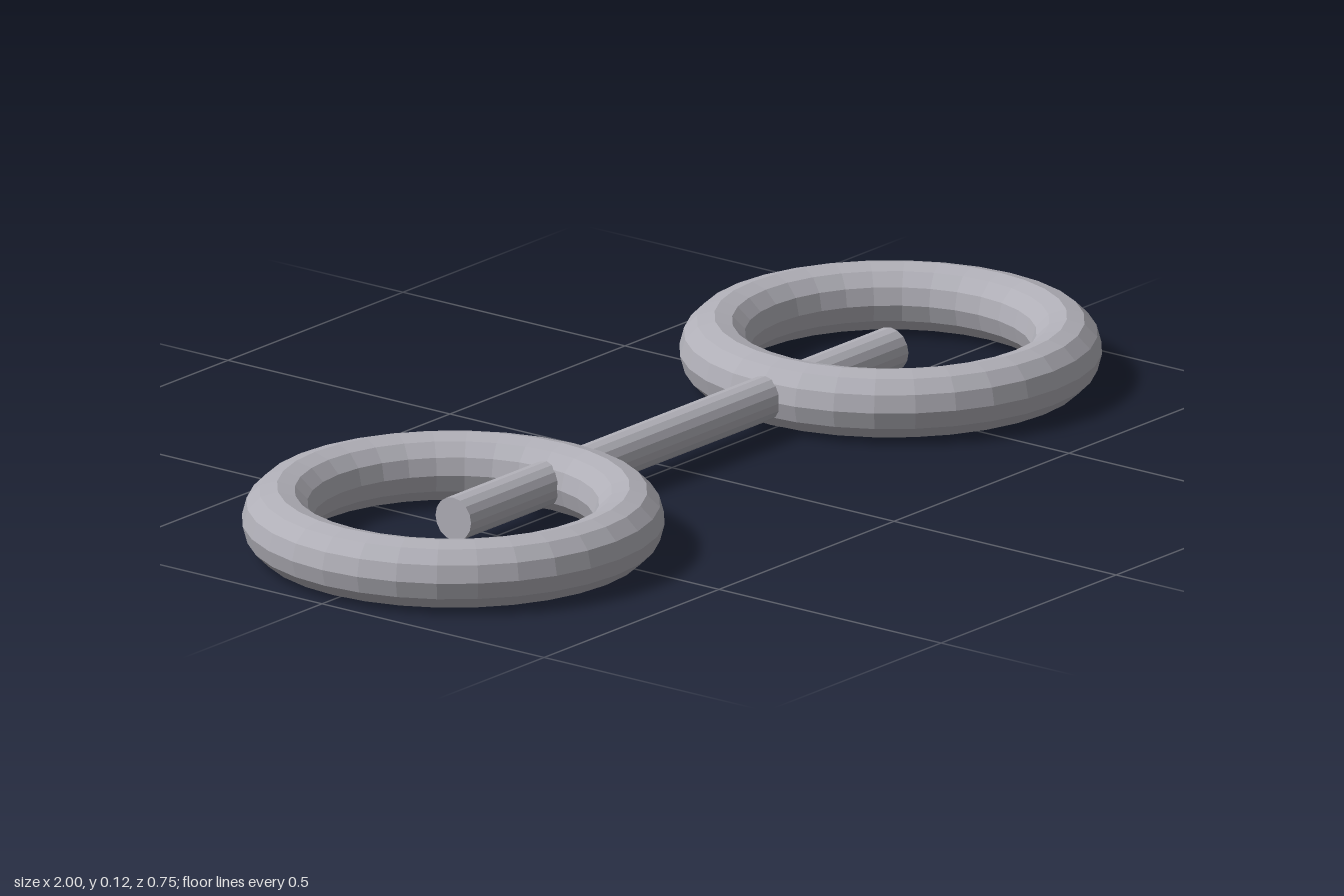
import * as THREE from 'three';

export function createModel() {
  const group = new THREE.Group();
  const grey = new THREE.MeshStandardMaterial({ color: 0xb0afb7, flatShading: true });
  grey.name = 'grey';
  const tube = 0.0625, ringRadius = 0.3125, spacing = 0.625;

  // Two flat rings, mirrored left and right
  const ringGeometry = new THREE.TorusGeometry(ringRadius, tube, 12, 32).rotateX(-Math.PI / 2);
  for (const [name, side] of [['leftRing', 1], ['rightRing', -1]]) {
    const ring = new THREE.Mesh(ringGeometry, grey);
    ring.name = name;
    ring.position.set(side * spacing, tube, 0);
    group.add(ring);
  }

  // Bar running from one ring centre to the other
  const barGeometry = new THREE.CylinderGeometry(0.04, 0.04, spacing * 2, 16).rotateZ(Math.PI / 2);
  const bar = new THREE.Mesh(barGeometry, grey);
  bar.name = 'connectingBar';
  bar.position.y = tube;
  group.add(bar);

  return group;
}
